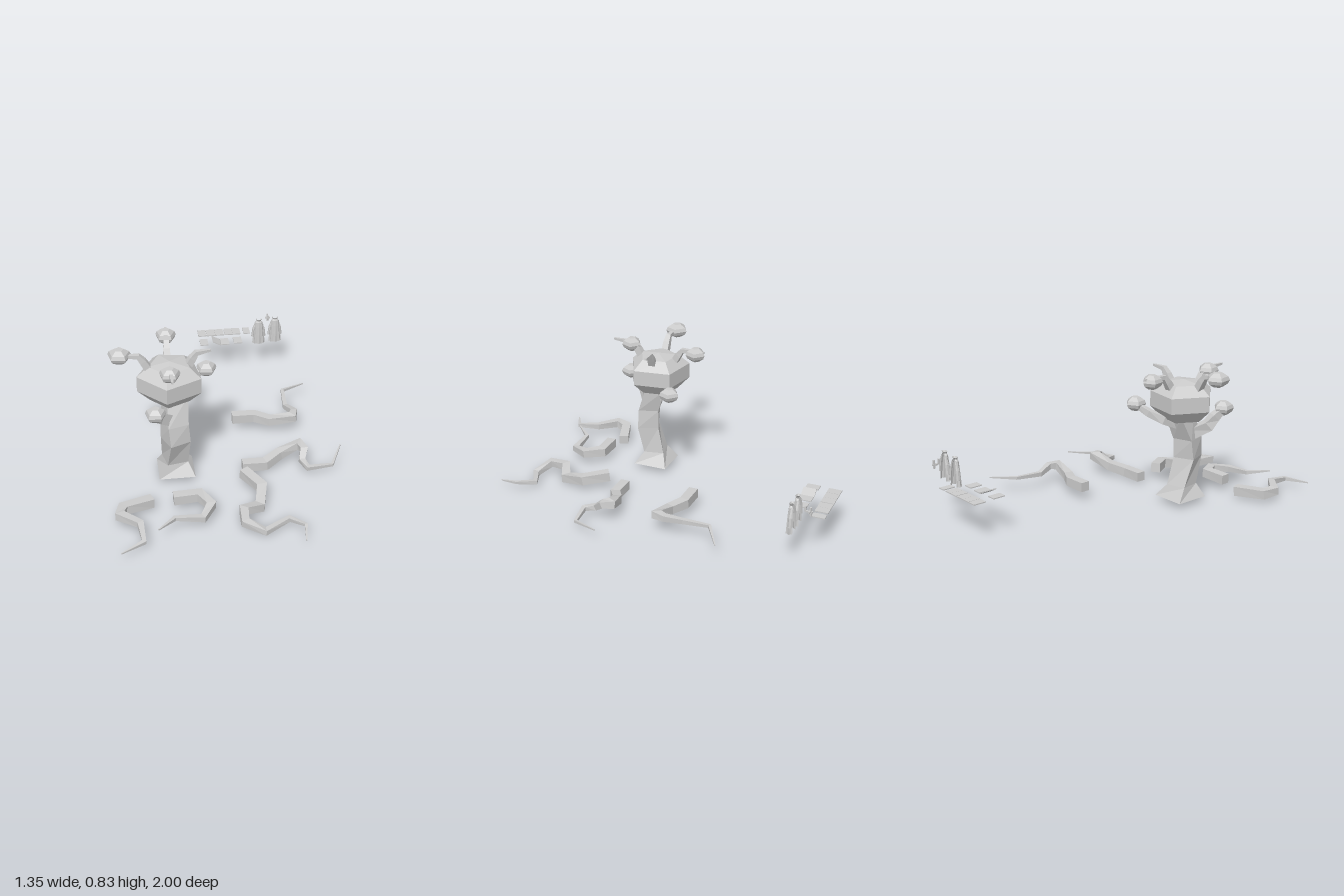
import * as THREE from 'three';

const grey = new THREE.MeshStandardMaterial({ color: 0xcccccc, flatShading: true });
const greyDouble = new THREE.MeshStandardMaterial({ color: 0xcccccc, flatShading: true, side: THREE.DoubleSide });
const V = (x, y, z) => new THREE.Vector3(x, y, z);

// Skin a list of rings (right-handed about the travel direction); closed gives capped solids
function loft(name, rings, closed = true) {
  const pos = [];
  const tri = (a, b, c) => pos.push(...a.toArray(), ...b.toArray(), ...c.toArray());
  const n = rings[0].length;
  for (let i = 0; i < rings.length - 1; i++) {
    for (let j = 0; j < (closed ? n : n - 1); j++) {
      const k = (j + 1) % n, r = rings[i], s = rings[i + 1];
      tri(r[j], r[k], s[k]);
      tri(r[j], s[k], s[j]);
    }
  }
  if (closed) {
    const first = rings[0], last = rings[rings.length - 1];
    for (let j = 1; j < n - 1; j++) {
      tri(first[0], first[j + 1], first[j]);
      tri(last[0], last[j], last[j + 1]);
    }
  }
  const g = new THREE.BufferGeometry();
  g.setAttribute('position', new THREE.Float32BufferAttribute(pos, 3));
  g.computeVertexNormals();
  const mesh = new THREE.Mesh(g, closed ? grey : greyDouble);
  mesh.name = name;
  return mesh;
}

// Horizontal polygon ring
function ring(x, y, z, r, sides, turn = 0, rz = r) {
  return Array.from({ length: sides }, (_, i) => {
    const a = turn + (i / sides) * Math.PI * 2;
    return V(x + r * Math.sin(a), y, z + rz * Math.cos(a));
  });
}

// Tapering square limb with mitred bends
function limb(name, path, w0, w1) {
  const p = path.map(a => V(...a));
  const last = p.length - 1;
  const rings = p.map((c, i) => {
    const a = p[Math.min(i + 1, last)].clone().sub(p[Math.min(i, last - 1)]).normalize();
    const b = p[Math.max(i, 1)].clone().sub(p[Math.max(i - 1, 0)]).normalize();
    const t = a.clone().add(b).normalize();
    const miter = 1 / Math.max(0.75, t.dot(a));
    const h = (w0 + (w1 - w0) * Math.pow(i / last, 1.6)) / 2;
    const side = t.clone().cross(V(0, 1, 0)).normalize();
    const up = side.clone().cross(t).multiplyScalar(h);
    side.multiplyScalar(h * miter);
    return [[1, 1], [-1, 1], [-1, -1], [1, -1]].map(([u, s]) =>
      c.clone().addScaledVector(up, u).addScaledVector(side, s));
  });
  return loft(name, rings);
}

// Five-sided faceted ball
const crownProfile = [[-1, 0.62], [-0.4, 1], [0.38, 1], [0.86, 0.64], [1, 0.02]];
const podProfile = [[-1, 0.4], [-0.5, 0.86], [0, 1], [0.5, 0.86], [1, 0.4]];
function ball(name, profile, x, y, z, r, h, turn) {
  return loft(name, profile.map(([v, s]) => ring(x, y + v * h, z, r * s, 5, turn)));
}

// Folded cape, open at the back, with hanging sleeves and a flared collar
function cloak() {
  const g = new THREE.Group();
  const levels = [[0, 0.042, 0.026], [0.06, 0.035, 0.023], [0.115, 0.029, 0.019],
    [0.15, 0.024, 0.015], [0.16, 0.014, 0.01], [0.171, 0.02, 0.014]];
  const rings = levels.map(([y, rx, rz], i) => Array.from({ length: 13 }, (_, j) => {
    const a = (j / 12 - 0.5) * Math.PI * 1.5;
    const fold = 1 - (j % 2) * (i < 4 ? 0.18 - i * 0.04 : 0);
    return V(rx * fold * Math.sin(a), y, rz * fold * Math.cos(a));
  }));
  g.add(loft('cape', rings, false));
  for (const s of [-1, 1]) {
    const sleeve = [[0.017, 0.148, 0.008], [0.032, 0.1, 0.012], [0.038, 0.045, 0.013]];
    const rows = sleeve.map(([x, y, r]) => [...ring(s * x, y, -0.006, r * 0.75, 6, 0, r), V(s * x, y, -0.006 + r)]);
    g.add(loft('sleeve', rows, false));
  }
  return g;
}

export function createModel() {
  const model = new THREE.Group();
  const add = (...m) => model.add(...m);

  // Twisted trunk with a flared foot
  const q = Math.PI / 4;
  add(loft('trunk', [
    ring(-0.305, 0.035, 0.255, 0.145, 4, q),
    ring(-0.31, 0.11, 0.26, 0.085, 4, q + 0.2),
    ring(-0.307, 0.27, 0.308, 0.088, 4, q + 0.4),
    ring(-0.31, 0.385, 0.3, 0.085, 4, q + 0.3),
    ring(-0.3, 0.54, 0.24, 0.085, 4, q + 0.15),
  ]));

  // Crown and the pods around it
  add(ball('crown', crownProfile, -0.325, 0.63, 0.245, 0.187, 0.115, 1.08));
  const pods = [[-0.597, 0.797, 0.24], [-0.325, 0.77, 0.005], [-0.34, 0.77, 0.425],
    [-0.425, 0.555, 0.472], [-0.105, 0.585, 0.08]];
  pods.forEach(([x, y, z], i) => add(ball('pod', podProfile, x, y, z, i === 0 ? 0.067 : 0.06, 0.04, i * 1.26 + 0.5)));

  // Four horns on the crown, bending outwards: direction, lift, reach
  for (const [dx, dz, lift, reach] of [[1, -0.1, 0, 0.24], [-1, 0, 0.01, 0.25], [0, 1, 0, 0.29], [0.04, -1, 0, 0.3]]) {
    const at = (d, y) => [-0.335 + dx * d, y + lift, 0.25 + dz * d];
    add(limb('horn', [at(0.1, 0.69), at(0.135, 0.75), at(0.16, 0.782), at(reach, 0.788)], 0.042, 0.012));
  }

  // Branches carrying the two low pods
  add(limb('branch', [[-0.33, 0.41, 0.31], [-0.405, 0.465, 0.37], [-0.415, 0.51, 0.41], [-0.425, 0.545, 0.46]], 0.065, 0.035));
  add(limb('branch', [[-0.29, 0.475, 0.23], [-0.265, 0.51, 0.15], [-0.2, 0.545, 0.1], [-0.11, 0.58, 0.08]], 0.05, 0.028));

  // Roots crawling over the ground
  const roots = [
    [[0.075, 0.08, -0.15], [0.21, 0.08, -0.15], [0.3, 0.075, -0.098], [0.435, 0.105, -0.075],
      [0.452, 0.105, -0.13], [0.415, 0.085, -0.225], [0.425, 0.095, -0.39], [0.575, 0.078, -0.48]],
    [[0.075, 0.04, 0.29], [0.21, 0.04, 0.29], [0.3, 0.065, 0.235], [0.42, 0.105, 0.21],
      [0.44, 0.1, 0.26], [0.42, 0.06, 0.31], [0.445, 0.05, 0.375], [0.59, 0.045, 0.355], [0.67, 0.068, 0.195]],
    [[0.065, 0.075, 0.4], [0.15, 0.06, 0.53], [0.12, 0.03, 0.665], [0.022, 0.055, 0.715],
      [0.015, 0.052, 0.82], [0.12, 0.02, 0.87], [0.26, 0.038, 0.8], [0.335, 0.055, 0.885], [0.317, 0.04, 0.995]],
    [[-0.35, 0.07, 0.585], [-0.205, 0.075, 0.58], [-0.15, 0.07, 0.67], [-0.205, 0.06, 0.765],
      [-0.36, 0.075, 0.765], [-0.455, 0.087, 0.865]],
    [[-0.465, 0.042, 0.555], [-0.63, 0.05, 0.615], [-0.65, 0.06, 0.685], [-0.545, 0.065, 0.775],
      [-0.535, 0.05, 0.91], [-0.66, 0.04, 0.978]],
  ];
  roots.forEach(r => add(limb('root', r, 0.056, 0.006)));

  // Thin slabs in two rows: x, z, width, lift, tilt
  const slabs = [[-0.014, -0.965, 0.052, 0, 0], [0.043, -0.965, 0.056, 0, 0], [0.1, -0.965, 0.056, 0, 0],
    [0.16, -0.965, 0.052, 0, 0], [0.213, -0.965, 0.052, 0, 0], [0.281, -0.965, 0.043, 0, 0],
    [-0.014, -0.84, 0.052, 0.004, 0], [0.067, -0.84, 0.058, 0.01, -0.5], [0.121, -0.84, 0.054, 0, 0],
    [0.206, -0.84, 0.054, 0.004, 0]];
  for (const [x, z, w, lift, tilt] of slabs) {
    const slab = new THREE.Mesh(new THREE.BoxGeometry(w, 0.006, 0.076), grey);
    slab.position.set(x, 0.213 + lift, z);
    slab.rotation.z = tilt;
    slab.name = 'slab';
    add(slab);
  }

  // Two cloaks standing side by side
  for (const [x, y] of [[0.348, 0.18], [0.455, 0.188]]) {
    const c = cloak();
    c.position.set(x, y, -0.862);
    c.name = 'cloak';
    add(c);
  }

  // Small forked hook behind the cloaks: y, z, then size
  const hook = new THREE.Group();
  hook.name = 'hook';
  for (const [y, z, w, h, d] of [[0.31, -0.956, 0.01, 0.05, 0.01], [0.308, -0.945, 0.009, 0.009, 0.045],
    [0.323, -0.925, 0.009, 0.028, 0.009], [0.31, -0.95, 0.034, 0.01, 0.01]]) {
    const bar = new THREE.Mesh(new THREE.BoxGeometry(w, h, d), grey);
    bar.position.set(0.42, y, z);
    bar.name = 'hookBar';
    hook.add(bar);
  }
  add(hook);
  return model;
}
